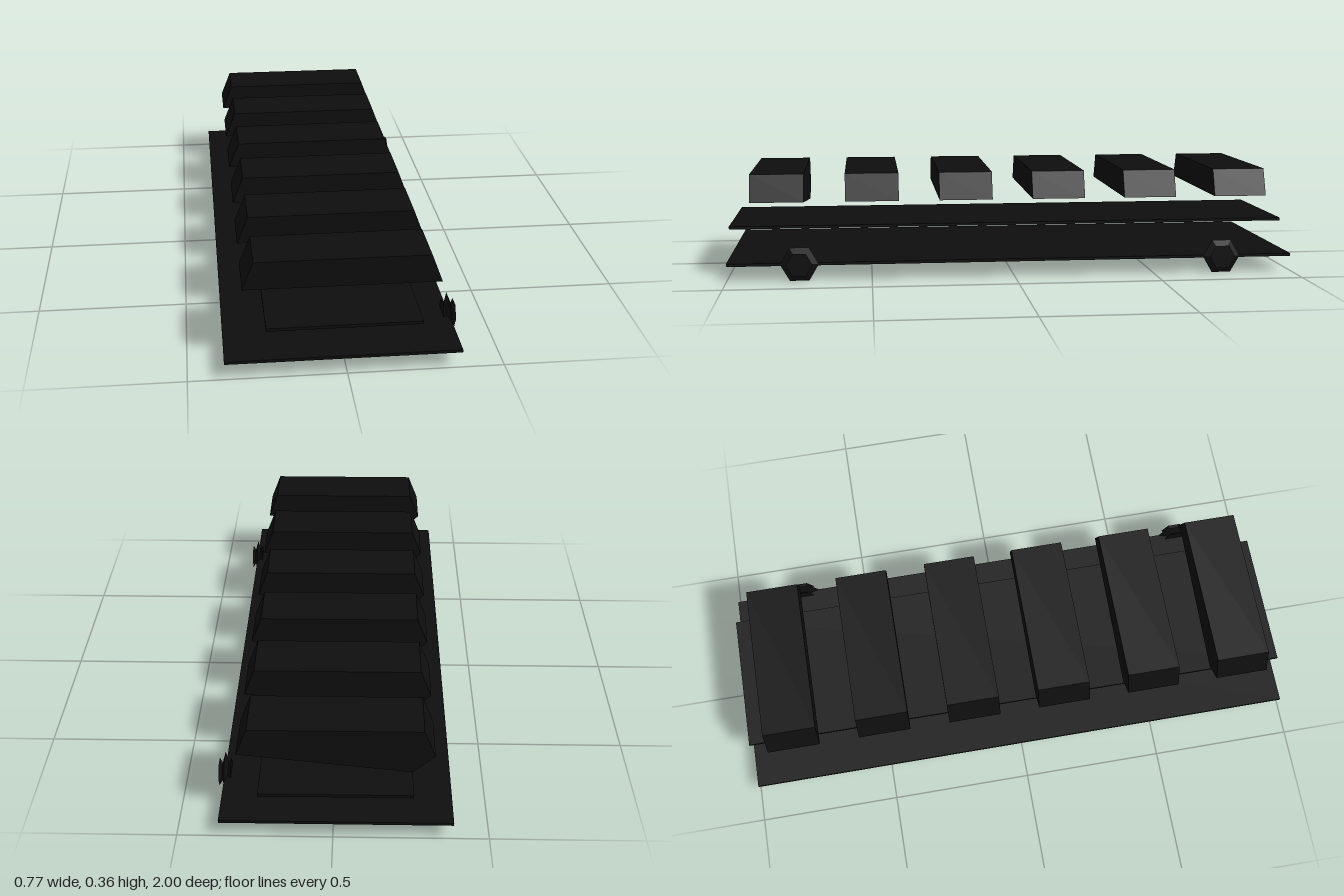
import * as THREE from 'three';
import { ConvexGeometry } from 'three/addons/geometries/ConvexGeometry.js';

export function createModel() {
  const root = new THREE.Group();
  root.name = 'accessoryRail';
  const black = new THREE.MeshStandardMaterial({ color: 0x0e0e0e, flatShading: true });
  black.name = 'matteBlack';

  const add = (name, geometry, x, y, z) => {
    const mesh = new THREE.Mesh(geometry, black);
    mesh.name = name;
    mesh.position.set(x, y, z);
    root.add(mesh);
    return mesh;
  };

  // Two thin full-length plates
  add('basePlate', new THREE.BoxGeometry(0.75, 0.01, 2), -0.01, 0.06, 0);
  add('upperPlate', new THREE.BoxGeometry(0.49, 0.01, 2), -0.009, 0.17, 0);

  // Cross ridges: bevelled ends, with the underside dropping to one rear corner
  const section = [[-0.285, 0.363], [0.271, 0.363], [0.307, 0.268], [-0.322, 0.27]];
  const half = 0.094;
  const corners = [new THREE.Vector3(-0.253, 0.206, -half)];
  for (const z of [-half, half]) {
    for (const [x, y] of section) corners.push(new THREE.Vector3(x, y, z));
  }
  const ridge = new ConvexGeometry(corners);
  for (let i = 0; i < 6; i++) add('ridge' + (i + 1), ridge, 0, 0, (2.5 - i) * 0.331);

  // Hexagonal bolts with a flared middle and pinched waists
  const profile = [[0, -0.02], [0.046, -0.02], [0.03, -0.01], [0.067, 0], [0.03, 0.01], [0.046, 0.02], [0, 0.02]]
    .map(([r, h]) => new THREE.Vector2(r, h));
  const bolt = new THREE.LatheGeometry(profile, 6).rotateZ(-Math.PI / 2);
  add('frontBolt', bolt, 0.364, 0.06, 0.75);
  add('rearBolt', bolt, 0.364, 0.06, -0.745);

  return root;
}
